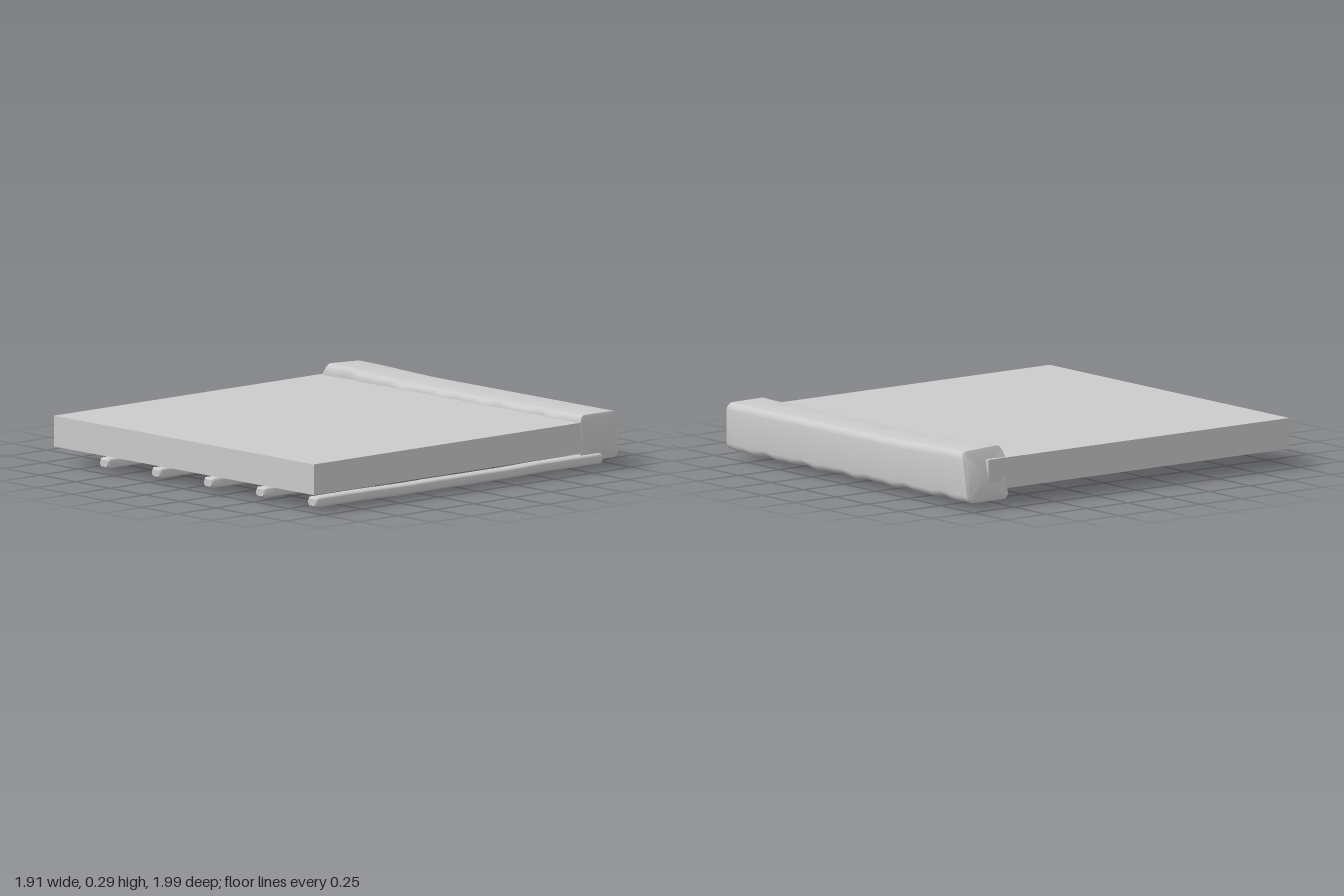
import * as THREE from 'three';
import { toCreasedNormals } from 'three/addons/utils/BufferGeometryUtils.js';

const material = new THREE.MeshStandardMaterial({ color: 0xcccccc });

// Rounded rectangle, counter-clockwise, as [x, y] pairs
function roundedRing(x0, x1, y0, y1, r, steps) {
  const corners = [[x1 - r, y1 - r], [x0 + r, y1 - r], [x0 + r, y0 + r], [x1 - r, y0 + r]];
  return corners.flatMap(([cx, cy], c) => Array.from({ length: steps + 1 }, (_, i) => {
    const a = (c + i / steps) * Math.PI / 2;
    return [cx + r * Math.cos(a), cy + r * Math.sin(a)];
  }));
}

// Skin a list of rings of [x, y, z] points, ordered along +z, and cap both ends
function loft(rings, crease) {
  const n = rings[0].length, last = rings.length - 1;
  const points = rings.flat(), index = [];
  for (let s = 0; s < last; s++) {
    for (let i = 0; i < n; i++) {
      const a = s * n + i, b = s * n + (i + 1) % n;
      index.push(a, b, b + n, a, b + n, a + n);
    }
  }
  for (const s of [0, last]) {
    const c = points.length;
    points.push([0, 1, 2].map(k => rings[s].reduce((sum, p) => sum + p[k], 0) / n));
    for (let i = 0; i < n; i++) {
      const a = s * n + i, b = s * n + (i + 1) % n;
      index.push(c, ...(s ? [a, b] : [b, a]));
    }
  }
  const geometry = new THREE.BufferGeometry();
  geometry.setAttribute('position', new THREE.Float32BufferAttribute(points.flat(), 3));
  geometry.setIndex(index);
  return toCreasedNormals(geometry, crease);
}

// Rough-hewn log along x: worn edges, raised and slanted left end
function beamGeometry() {
  const rings = [], steps = 48;
  for (let s = -1; s <= steps + 1; s++) {
    const t = THREE.MathUtils.clamp(s / steps, 0, 1);
    const inset = s < 0 || s > steps ? 0.014 : 0;
    const x = -0.94 + t * 1.853;
    const rise = 0.024 * (1 - THREE.MathUtils.smoothstep(t, 0.02, 0.35));
    const wear = 0.004 * Math.sin(x * 23) + 0.003 * Math.sin(x * 41 + 1);
    const ring = roundedRing(0.742 + inset, 0.996 - inset, 0.036 + inset, 0.272 - inset, 0.035, 4);
    rings.push(ring.map(([d, y]) => {
      const top = THREE.MathUtils.smoothstep(y, 0.2, 0.27);
      const bottom = 1 - THREE.MathUtils.smoothstep(y, 0.04, 0.1);
      const front = 1 - THREE.MathUtils.smoothstep(d, 0.74, 0.8);
      const slant = t < 0.04 ? (1 - t / 0.04) * (0.042 * top - 0.012 * bottom) : 0;
      const end = s < 0 ? -0.006 : s > steps ? 0.006 : 0;
      return [
        d + front * (0.004 + wear),
        y + top * (rise * (1 - 0.5 * (d - 0.74) / 0.26) + wear * front) + bottom * (0.004 + wear),
        x + slant + end,
      ];
    }));
  }
  return loft(rings, 0.7).rotateY(Math.PI / 2);
}

// Slim pole along z with a gentle crook; sag is its drop near the middle
function joistGeometry(sag, phase) {
  const rings = [], steps = 28;
  for (let s = -1; s <= steps + 1; s++) {
    const t = THREE.MathUtils.clamp(s / steps, 0, 1);
    const end = s < 0 ? -1 : s > steps ? 1 : 0;
    const inset = end ? 0.008 : 0;
    const z = -0.86 + t * 1.845 + end * 0.012;
    const bend = Math.sin(Math.PI * t);
    const dy = -sag * Math.exp(-(((z - 0.05) / 0.28) ** 2)) + 0.002 * bend * Math.sin(z * 9 + phase);
    const dx = bend * (0.004 * Math.sin(z * 5 + phase) + 0.002 * Math.sin(z * 17 + phase));
    rings.push(roundedRing(-0.034 + inset, 0.034 - inset, 0.03 + inset, 0.079 - inset, 0.011, 2)
      .map(([x, y]) => [x + dx, y + dy, z]));
  }
  return loft(rings, 0.8);
}

export function createModel() {
  const group = new THREE.Group();
  const add = (name, geometry, x = 0, y = 0, z = 0) => {
    const mesh = new THREE.Mesh(geometry, material);
    mesh.name = name;
    mesh.position.set(x, y, z);
    group.add(mesh);
  };

  // Flat deck, its back edge let into the beam
  add('deck', new THREE.BoxGeometry(1.855, 0.15, 1.845), -0.015, 0.163, 0.0625);

  add('backBeam', beamGeometry());

  // Five joists under the deck, the second one sagging most
  const sags = [0.004, 0.028, 0.002, -0.004, 0.003];
  sags.forEach((sag, i) => add(`joist${i + 1}`, joistGeometry(sag, i * 1.7), -0.573 + i * 0.371));

  return group;
}
